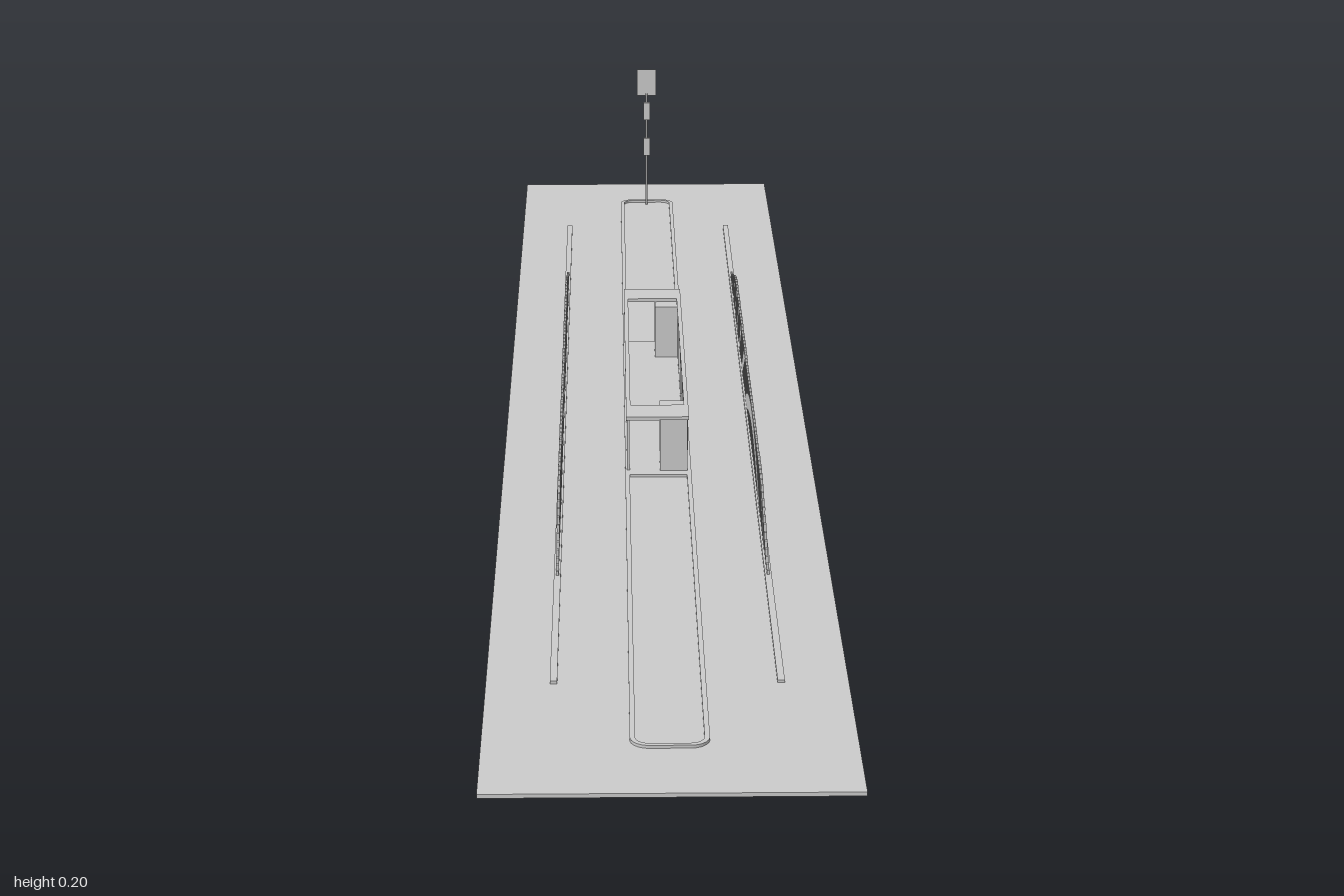
import * as THREE from 'three';

const grey = new THREE.MeshStandardMaterial({ color: 0xcccccc, side: THREE.DoubleSide });

// Box given by its lower and upper limits on each axis
function box(parent, name, [x0, x1], [y0, y1], [z0, z1]) {
  const mesh = new THREE.Mesh(new THREE.BoxGeometry(x1 - x0, y1 - y0, z1 - z0), grey);
  mesh.position.set((x0 + x1) / 2, (y0 + y1) / 2, (z0 + z1) / 2);
  mesh.name = name;
  parent.add(mesh);
  return mesh;
}

function group(parent, name) {
  const g = new THREE.Group();
  g.name = name;
  parent.add(g);
  return g;
}

// Rounded rectangle outline, half sizes w and h, corner radius r
function roundedRect(Type, w, h, r) {
  const p = new Type();
  p.moveTo(w, -h + r);
  p.lineTo(w, h - r);
  p.absarc(w - r, h - r, r, 0, Math.PI / 2);
  p.absarc(-w + r, h - r, r, Math.PI / 2, Math.PI);
  p.absarc(-w + r, -h + r, r, Math.PI, Math.PI * 1.5);
  p.absarc(w - r, -h + r, r, Math.PI * 1.5, Math.PI * 2);
  return p;
}

const GROUND = 0.004;
const FLOOR = 0.007;

export function createModel() {
  const model = new THREE.Group();
  model.name = 'roadsideStation';

  box(model, 'groundSlab', [-0.174, 0.174], [0, GROUND], [-1, 1]);

  // Long kerb ring around the central island
  const ring = roundedRect(THREE.Shape, 0.037, 0.908, 0.018);
  ring.holes.push(roundedRect(THREE.Path, 0.032, 0.903, 0.013));
  const kerb = new THREE.Mesh(
    new THREE.ExtrudeGeometry(ring, { depth: FLOOR - GROUND, bevelEnabled: false, curveSegments: 6 }), grey);
  kerb.rotation.x = -Math.PI / 2;
  kerb.position.y = GROUND;
  kerb.name = 'islandKerb';
  model.add(kerb);

  // Side kerbs with rows of upright fins that rise and fall smoothly
  for (const side of [-1, 1]) {
    const screen = group(model, side > 0 ? 'leftScreen' : 'rightScreen');
    const x = side * 0.109;
    box(screen, 'sideKerb', [x - 0.0035, x + 0.0035], [GROUND, FLOOR], [-0.775, 0.765]);
    const count = 79;
    for (let i = 0; i < count; i++) {
      const z = -0.54 + (1.04 * i) / (count - 1);
      const fromEnd = 0.52 - Math.abs(z + 0.02);
      const top = 0.01 + 0.042 * THREE.MathUtils.smoothstep(fromEnd, -0.02, 0.18);
      box(screen, 'fin', [x - 0.0015, x + 0.0015], [FLOOR, top], [z - 0.002, z + 0.002]);
    }
  }

  // Open-topped shelter on the island
  const shelter = group(model, 'shelter');
  box(shelter, 'platform', [-0.035, 0.033], [GROUND, FLOOR], [-0.26, 0.21]);

  // Long walls with three tall openings each (drawn in the z-y plane)
  const wallShape = new THREE.Shape([[-0.24, 0], [0.195, 0], [0.195, 0.065], [-0.24, 0.065]]
    .map(([z, y]) => new THREE.Vector2(-z, y)));
  for (let i = -1; i <= 1; i++) {
    const c = -0.023 + i * 0.09;
    wallShape.holes.push(new THREE.Path([[c - 0.035, 0.002], [c + 0.035, 0.002], [c + 0.035, 0.056], [c - 0.035, 0.056]]
      .map(([z, y]) => new THREE.Vector2(-z, y))));
  }
  const wallGeometry = new THREE.ExtrudeGeometry(wallShape, { depth: 0.003, bevelEnabled: false });
  for (const [name, x] of [['leftWall', 0.030], ['rightWall', -0.035]]) {
    const wall = new THREE.Mesh(wallGeometry, grey);
    wall.rotation.y = Math.PI / 2;
    wall.position.set(x, FLOOR, 0);
    wall.name = name;
    shelter.add(wall);
  }

  // A kiosk and a canopy at each end
  box(shelter, 'frontKiosk', [0.002, 0.0328], [FLOOR, 0.0715], [0.145, 0.197]);
  box(shelter, 'backKiosk', [0.002, 0.0328], [FLOOR, 0.0715], [-0.242, -0.2]);
  box(shelter, 'frontCanopy', [-0.036, 0.034], [0.0715, 0.0755], [0.17, 0.21]);
  box(shelter, 'backCanopy', [-0.036, 0.034], [0.0715, 0.0755], [-0.262, -0.222]);
  // Slim roof edge linking the canopies
  box(shelter, 'leftRoofEdge', [0.029, 0.034], [0.0715, 0.0755], [-0.222, 0.17]);
  box(shelter, 'rightRoofEdge', [-0.036, -0.031], [0.0715, 0.0755], [-0.222, 0.17]);

  // Sign post with a thin board and two small signal boxes
  const sign = group(model, 'signPost');
  const z = -0.892;
  const post = new THREE.Mesh(new THREE.CylinderGeometry(0.0014, 0.0014, 0.164, 8), grey);
  post.position.set(0, GROUND + 0.082, z);
  post.name = 'post';
  sign.add(post);
  const board = new THREE.Mesh(new THREE.PlaneGeometry(0.027, 0.038), grey);
  board.position.set(0, 0.184, z);
  board.name = 'signBoard';
  sign.add(board);
  for (const y of [0.078, 0.13]) {
    box(sign, 'signalBox', [-0.0045, 0.0045], [y, y + 0.025], [z - 0.002, z + 0.004]);
  }

  return model;
}
